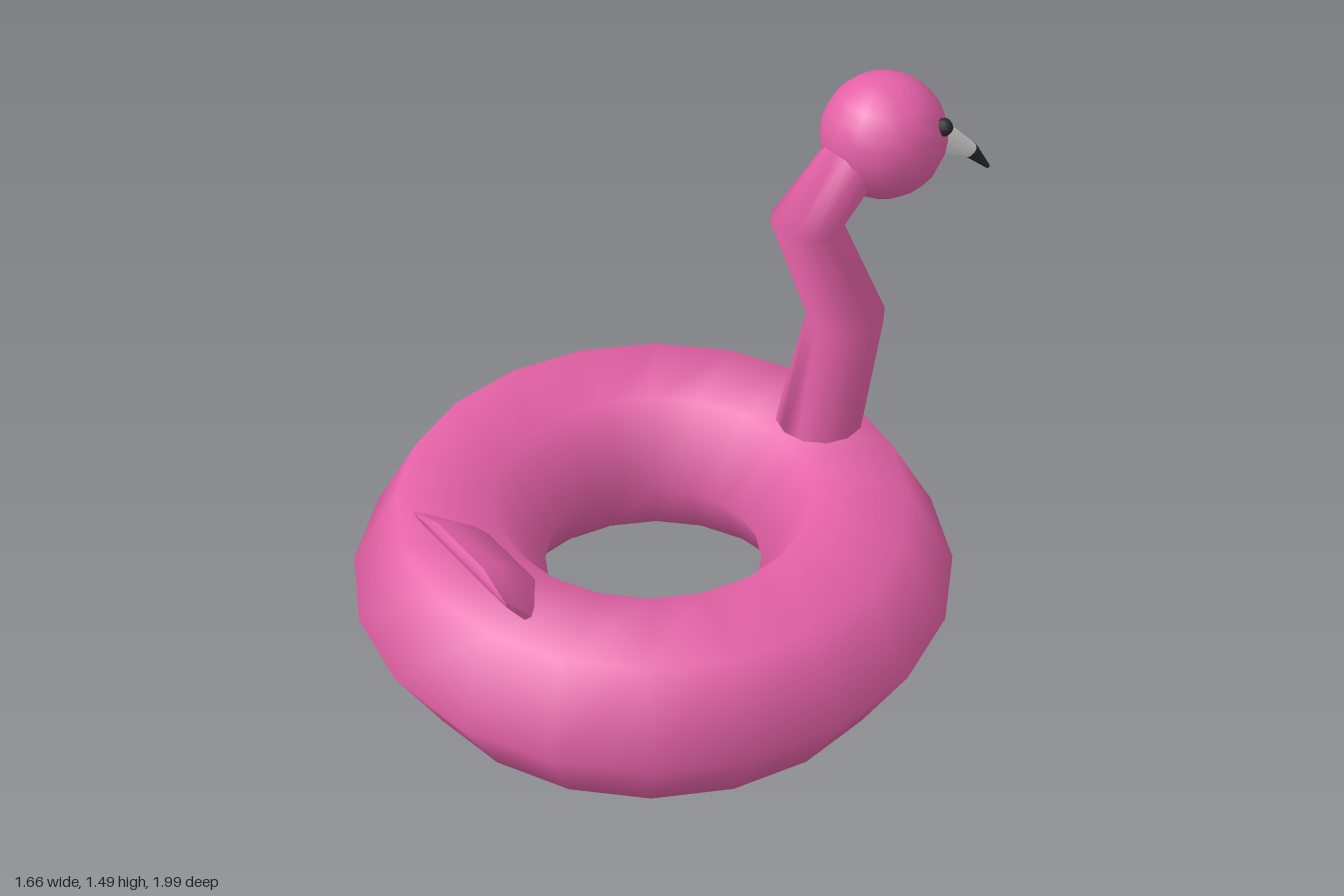
import * as THREE from 'three';
import { toCreasedNormals } from 'three/addons/utils/BufferGeometryUtils.js';

const material = (name, color) => {
  const m = new THREE.MeshStandardMaterial({ color });
  m.name = name;
  return m;
};

// Skin a list of equal-sized point rings (counterclockwise about the path), with capped ends
function loft(rings) {
  const n = rings[0].length;
  const points = rings.flat();
  const index = [];
  for (let i = 0; i < rings.length - 1; i++) {
    for (let j = 0; j < n; j++) {
      const a = i * n + j, b = i * n + (j + 1) % n;
      index.push(a, b, a + n, b, b + n, a + n);
    }
  }
  const last = (rings.length - 1) * n;
  for (let j = 1; j < n - 1; j++) {
    index.push(0, j + 1, j, last, last + j, last + j + 1);
  }
  const g = new THREE.BufferGeometry().setFromPoints(points);
  g.setIndex(index);
  g.computeVertexNormals();
  return g;
}

// Tapered round piece running between two points
function taper(from, to, r0, r1) {
  const a = new THREE.Vector3(...from), b = new THREE.Vector3(...to);
  const dir = b.clone().sub(a);
  const g = new THREE.CylinderGeometry(r1, r0, dir.length(), 12);
  g.applyQuaternion(new THREE.Quaternion().setFromUnitVectors(
    new THREE.Vector3(0, 1, 0), dir.normalize()));
  const mid = a.add(b).multiplyScalar(0.5);
  return g.translate(mid.x, mid.y, mid.z);
}

export function createModel() {
  const model = new THREE.Group();
  const pink = material('pink vinyl', 0xe461a6);
  const white = material('beak white', 0xe2e2e2);
  const black = material('black', 0x2a2a2c);
  const add = (name, geometry, mat) => {
    const mesh = new THREE.Mesh(geometry, mat);
    mesh.name = name;
    model.add(mesh);
    return mesh;
  };

  // Inflated ring with a six-sided tube
  add('swimRing', new THREE.TorusGeometry(0.565, 0.265, 6, 20)
    .rotateX(Math.PI / 2).translate(0, 0.23, 0.165), pink);

  // Kinked neck: inner z, y, outer z, y, half width
  const neckRings = [
    [-0.24, 0.30, -0.51, 0.30, 0.129],
    [-0.39, 0.78, -0.60, 0.80, 0.115],
    [-0.25, 1.15, -0.44, 1.14, 0.102],
    [-0.46, 1.355, -0.56, 1.235, 0.085],
  ].map(([z0, y0, z1, y1, w]) => Array.from({ length: 12 }, (_, j) => {
    const a = j / 12 * Math.PI * 2, c = Math.cos(a) / 2;
    return new THREE.Vector3(w * Math.sin(a),
      (y0 + y1) / 2 + c * (y0 - y1), (z0 + z1) / 2 + c * (z0 - z1));
  }));
  add('neck', loft(neckRings), pink);

  // Head and eyes
  add('head', new THREE.SphereGeometry(0.172, 16, 12).translate(0, 1.32, -0.6), pink);
  for (const [name, side] of [['leftEye', 1], ['rightEye', -1]]) {
    add(name, new THREE.SphereGeometry(0.025, 8, 6)
      .translate(side * 0.136, 1.376, -0.69), black);
  }

  // Beak with a dark drooping tip
  add('beak', taper([0, 1.32, -0.68], [0, 1.157, -0.922], 0.074, 0.021), white);
  add('beakTip', taper([0, 1.164, -0.914], [0, 1.08, -0.99], 0.024, 0.006), black);

  // Tail: leaning plate, domed on top and thinning to the sides
  // profile: distance up the leaning face, thickness from it
  const profile = [[-0.1, 0], [0.092, 0], [0.106, 0.012], [0.112, 0.033],
    [0.07, 0.064], [-0.005, 0.083], [-0.065, 0.088], [-0.1, 0.085]];
  // sections: x, thickness factor, drop of the upper edge
  const half = [[0.228, 0.2, 0.022], [0.2, 0.45, 0.008], [0.11, 1, 0]];
  const sections = [...half, ...half.map(([x, f, d]) => [-x, f, d]).reverse()];
  const tail = loft(sections.map(([x, f, drop]) => profile.map(([s, h]) => {
    const u = s - (s > 0 ? drop : 0), t = h * f;
    return new THREE.Vector3(x, 0.465 + 0.8 * u + 0.59 * t, 0.73 + 0.59 * u - 0.8 * t);
  })));
  add('tail', toCreasedNormals(tail, 0.8), pink);

  return model;
}
